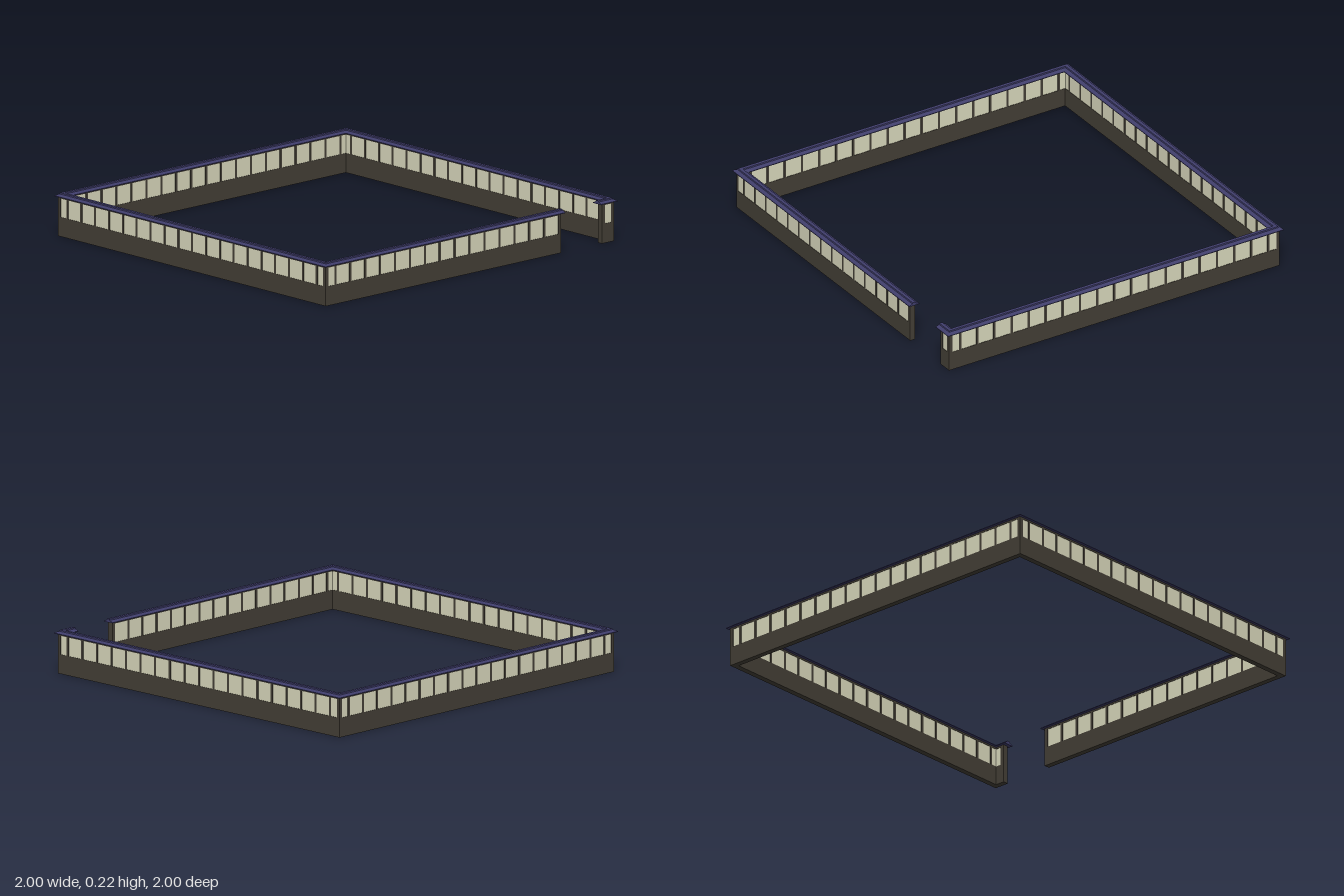
import * as THREE from 'three';

const C = 0.97;        // wall centre line
const T = 0.03;        // wall thickness
const OUT = C + T / 2; // outer wall face
const SILL = 0.1, HEAD = 0.196, EAVE = 0.205;
const PITCH = 0.102, BAR = 0.013, CORNER = 0.019, JAMB = 0.02;

const wood = new THREE.MeshStandardMaterial({ color: 0x443f36 });
wood.name = 'dark timber';
const plaster = new THREE.MeshStandardMaterial({ color: 0xdad9bd });
plaster.name = 'cream plaster';
const tile = new THREE.MeshStandardMaterial({ color: 0x3f3d6b });
tile.name = 'indigo roof tile';

function box(parent, name, mat, x0, x1, y0, y1, depth) {
  const m = new THREE.Mesh(new THREE.BoxGeometry(x1 - x0, y1 - y0, depth), mat);
  m.position.set((x0 + x1) / 2, (y0 + y1) / 2, 0);
  m.name = name;
  parent.add(m);
  return m;
}

// One straight wall along local x; jambs mark ends that stop at the gateway
function wall(name, x0, x1, jambLeft = false, jambRight = false) {
  const g = new THREE.Group();
  g.name = name;
  box(g, 'lowerBoards', wood, x0, x1, 0, SILL, T);
  box(g, 'topRail', wood, x0, x1, HEAD, EAVE + 0.002, T);
  const p0 = x0 + (jambLeft ? JAMB : CORNER), p1 = x1 - (jambRight ? JAMB : CORNER);
  box(g, 'plasterPanels', plaster, p0, p1, SILL - 0.002, HEAD + 0.002, T - 0.004);
  if (jambLeft) box(g, 'gateJamb', wood, x0, p0, SILL, HEAD, T);
  if (jambRight) box(g, 'gateJamb', wood, p1, x1, SILL, HEAD, T);
  for (let k = -9; k <= 9; k++) {
    const x = k * PITCH;
    if (x < p0 || x > p1 + BAR / 2) continue;
    box(g, 'post', wood, x - BAR / 2, Math.min(x + BAR / 2, x1), SILL, HEAD, T);
  }
  return g;
}

// Mitred roof swept round the walls: sloping eaves with a raised ridge cap
function roofGeometry() {
  const half = [[0.03, EAVE], [0.03, 0.2085], [0.011, 0.217], [0.009, 0.223]];
  const profile = [...half, ...half.map(([u, y]) => [-u, y]).reverse()];
  const stations = [
    u => [0.64, C + u],
    u => [-C - u, C + u],
    u => [-C - u, -C - u],
    u => [C + u, -C - u],
    u => [C + u, C + u],
    u => [0.885, C + u],
  ];
  const pt = (i, [u, y]) => {
    const [x, z] = stations[i](u);
    return [x, y, z];
  };
  const pos = [];
  const tri = (...p) => p.forEach(v => pos.push(...v));
  const n = profile.length, last = stations.length - 1;
  for (let j = 0; j < n; j++) {
    const p = profile[j], q = profile[(j + 1) % n];
    for (let i = 0; i < last; i++) {
      const a = pt(i, p), b = pt(i, q), c = pt(i + 1, p), d = pt(i + 1, q);
      tri(a, b, c);
      tri(b, d, c);
    }
    // Gable ends at the gateway
    const mid = [0, EAVE];
    tri(pt(0, mid), pt(0, q), pt(0, p));
    tri(pt(last, mid), pt(last, p), pt(last, q));
  }
  const g = new THREE.BufferGeometry();
  g.setAttribute('position', new THREE.Float32BufferAttribute(pos, 3));
  g.computeVertexNormals();
  return g;
}

export function createModel() {
  const model = new THREE.Group();
  model.name = 'courtyardWall';

  // Front wall, broken by the gateway
  const front = wall('frontWall', -OUT, 0.625, false, true);
  const stub = wall('frontWallStub', 0.904, OUT, true, false);
  front.position.z = stub.position.z = C;
  // Back and side walls
  const back = wall('backWall', -OUT, OUT);
  back.position.z = -C;
  model.add(front, stub, back);
  for (const s of [-1, 1]) {
    const side = wall(s > 0 ? 'leftWall' : 'rightWall', -OUT, OUT);
    side.rotation.y = Math.PI / 2;
    side.position.x = s * C;
    model.add(side);
    // Corner posts
    for (const t of [-1, 1]) {
      const m = box(model, 'cornerPost', wood, 0, CORNER, SILL, HEAD, CORNER);
      m.position.x = s * (OUT - CORNER / 2);
      m.position.z = t * (OUT - CORNER / 2);
    }
  }

  const roof = new THREE.Mesh(roofGeometry(), tile);
  roof.name = 'tiledRoof';
  model.add(roof);
  return model;
}
